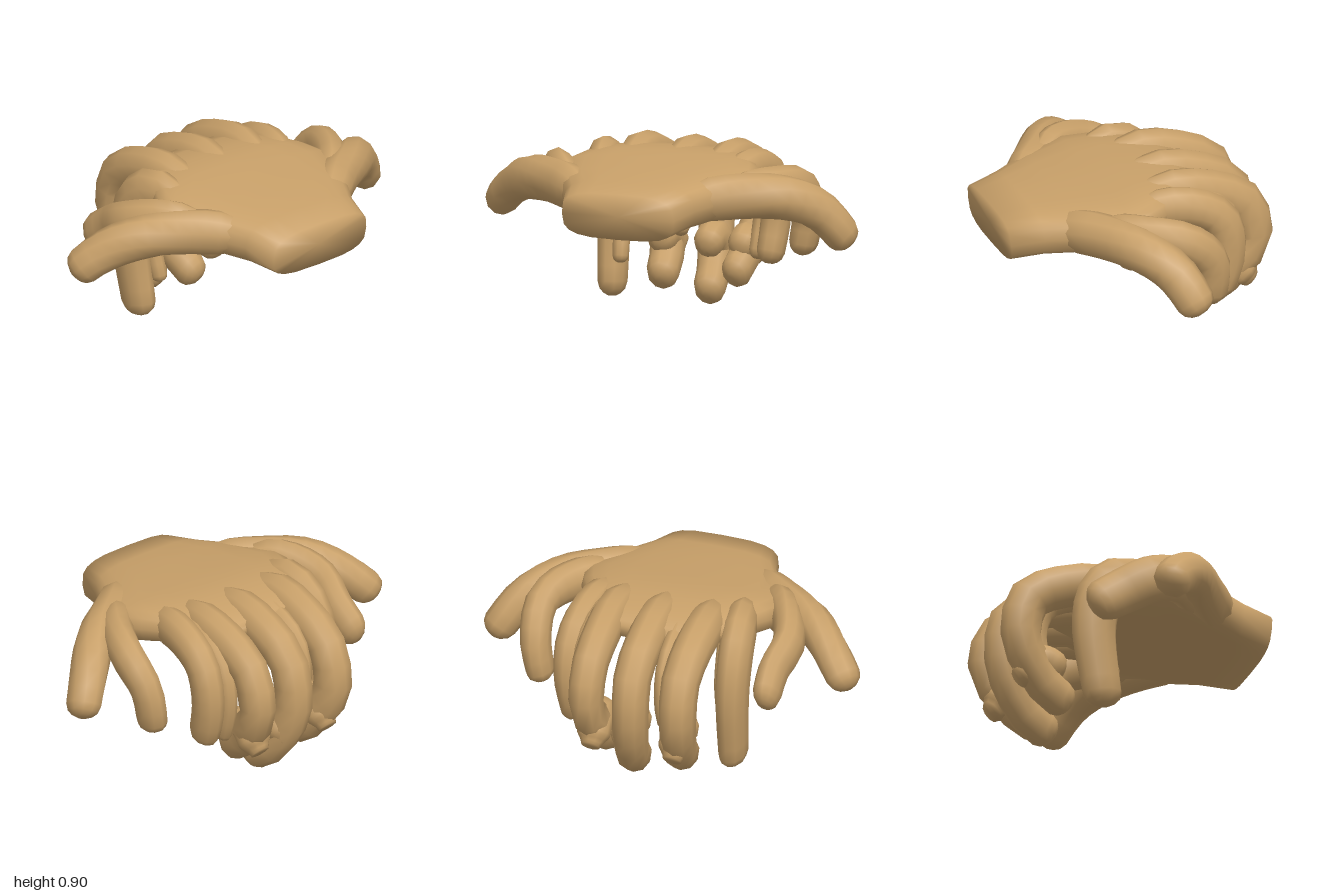
import * as THREE from 'three';
import { toCreasedNormals } from 'three/addons/utils/BufferGeometryUtils.js';

const skin = new THREE.MeshStandardMaterial({ color: 0xc8a069 });
skin.name = 'tan skin';

// Skins a list of equal-sized rings and closes both ends.
function loft(rings) {
  const n = rings[0].length, pos = [], idx = [];
  rings.forEach(r => r.forEach(p => pos.push(p.x, p.y, p.z)));
  for (let i = 0; i < rings.length - 1; i++) for (let j = 0; j < n; j++) {
    const k = (j + 1) % n, a = i * n, b = a + n;
    idx.push(a + j, a + k, b + k, a + j, b + k, b + j);
  }
  [0, rings.length - 1].forEach(i => {
    const c = new THREE.Vector3();
    rings[i].forEach(p => c.addScaledVector(p, 1 / n));
    const centre = pos.length / 3;
    pos.push(c.x, c.y, c.z);
    for (let j = 0; j < n; j++) {
      const a = i * n + j, b = i * n + (j + 1) % n;
      if (i) idx.push(centre, a, b); else idx.push(centre, b, a);
    }
  });
  const g = new THREE.BufferGeometry();
  g.setAttribute('position', new THREE.Float32BufferAttribute(pos, 3));
  g.setIndex(idx);
  return toCreasedNormals(g, 1.7);
}

// Finger swept along a path, with its half depth and half width, a slim root and a rounded tip.
function fingerGeometry(path, depth, width) {
  const curve = new THREE.CatmullRomCurve3(path.map(p => new THREE.Vector3(...p)), false, 'centripetal');
  const tip = 1 - 0.6 * depth / curve.getLength();
  const stops = Array.from({ length: 14 }, (_, i) => tip * i / 13);
  [0.5, 0.8, 0.96].forEach(f => stops.push(tip + (1 - tip) * f));
  const rings = stops.map(s => {
    const c = curve.getPointAt(s), t = curve.getTangentAt(s);
    const out = new THREE.Vector3().crossVectors(t, new THREE.Vector3(0, 0, 1)).normalize();
    const side = new THREE.Vector3().crossVectors(t, out);
    const e = Math.max(0, (s - tip) / (1 - tip));
    const k = Math.sqrt(1 - e * e) * (1 - 0.2 * s * s) * (0.55 + 0.45 * THREE.MathUtils.smoothstep(s, 0, 0.25));
    return Array.from({ length: 10 }, (_, j) => {
      const a = j / 10 * Math.PI * 2;
      return c.clone().addScaledVector(out, Math.cos(a) * depth * k).addScaledVector(side, Math.sin(a) * width * k);
    });
  });
  return loft(rings);
}

// Palm section at x with half width and y range; boxier than an ellipse.
function palmRing([x, half, y0, y1]) {
  const soft = v => Math.sign(v) * Math.abs(v) ** 0.6;
  return Array.from({ length: 20 }, (_, j) => {
    const a = j / 20 * Math.PI * 2, u = soft(Math.cos(a)), v = soft(Math.sin(a));
    return new THREE.Vector3(x + 0.012 * u, (y0 + y1) / 2 + u * (y1 - y0) / 2, -0.01 - v * half);
  });
}

export function createModel() {
  const hand = new THREE.Group();
  hand.name = 'hand';
  const add = (name, geometry) => {
    const m = new THREE.Mesh(geometry, skin);
    m.name = name;
    hand.add(m);
  };
  const addFinger = (name, path, depth, width) => add(name, fingerGeometry(path, depth, width));

  // Palm from the wrist stump to the webbing between the knuckles
  const palm = [
    [0.705, 0.305, 0.57, 0.81], [0.54, 0.355, 0.59, 0.84], [0.36, 0.46, 0.61, 0.865], [0.13, 0.55, 0.65, 0.885],
    [0, 0.5, 0.68, 0.9], [-0.14, 0.42, 0.71, 0.9], [-0.27, 0.33, 0.74, 0.88], [-0.36, 0.28, 0.77, 0.85]
  ];
  add('palm', loft(palm.map(palmRing)));

  // Long fingers reach forward, bend down and slant back under the palm
  const longFinger = (name, z, drift, low, width) => {
    addFinger(name, [
      [0.1, 0.77, z * 0.85], [-0.2, 0.82, z], [-0.42, 0.775, z], [-0.58, 0.68, z], [-0.62, 0.45, z],
      [-0.56, low + 0.2, z + drift * 0.3], [-0.46, low + 0.07, z + drift * 0.7], [-0.33, low, z + drift]
    ], 0.118, width);
    addFinger(name + 'CurledTip', [
      [-0.62, 0.25, z + drift / 2], [-0.5, 0.36, z + drift / 2], [-0.38, 0.31, z + drift / 2]
    ], 0.1, 0.088);
  };
  longFinger('frontMiddleFinger', 0.235, -0.06, 0.15, 0.102);
  longFinger('centreFinger', -0.02, -0.06, 0.09, 0.1);
  longFinger('backMiddleFinger', -0.255, 0.04, 0.19, 0.096);

  // Hooked fingers bend straight down from a knuckle at x = bend to y = low
  const hookedFinger = (name, z, bend, low, depth, width) => addFinger(name, [
    [0.14, 0.76, z * 0.8], [(bend + 0.05) / 2, 0.8, z * 0.95], [bend + 0.05, 0.71, z],
    [bend, 0.52, z], [bend + 0.06, low, z * 0.96]
  ], depth, width);
  hookedFinger('frontInnerFinger', 0.41, -0.29, 0.07, 0.128, 0.088);
  hookedFinger('backInnerFinger', -0.42, -0.43, 0.27, 0.108, 0.085);
  hookedFinger('frontSlimFinger', 0.12, -0.51, 0.36, 0.08, 0.055);
  hookedFinger('backSlimFinger', -0.335, -0.47, 0.28, 0.08, 0.055);
  hookedFinger('frontTuckedFinger', 0.335, -0.22, 0.26, 0.06, 0.05);

  // Outer fingers lean away from the palm
  addFinger('frontOuterFinger', [
    [0.32, 0.74, 0.36], [0.12, 0.76, 0.55], [-0.05, 0.71, 0.625], [-0.2, 0.63, 0.6], [-0.375, 0.51, 0.61]
  ], 0.135, 0.085);
  addFinger('backOuterFinger', [
    [0.32, 0.74, -0.36], [0.12, 0.77, -0.57], [-0.1, 0.74, -0.68], [-0.24, 0.6, -0.67], [-0.25, 0.36, -0.63]
  ], 0.11, 0.088);

  // Mirrored thumbs; the back one droops further
  [['frontThumb', 1, 0.53], ['backThumb', -1, 0.47]].forEach(([name, s, tipY]) => addFinger(name, [
    [0.5, 0.72, 0.2 * s], [0.29, 0.75, 0.46 * s], [0.14, 0.735, 0.69 * s], [0.02, 0.66, 0.83 * s], [-0.085, tipY, 0.965 * s]
  ], 0.122, 0.108));
  return hand;
}
